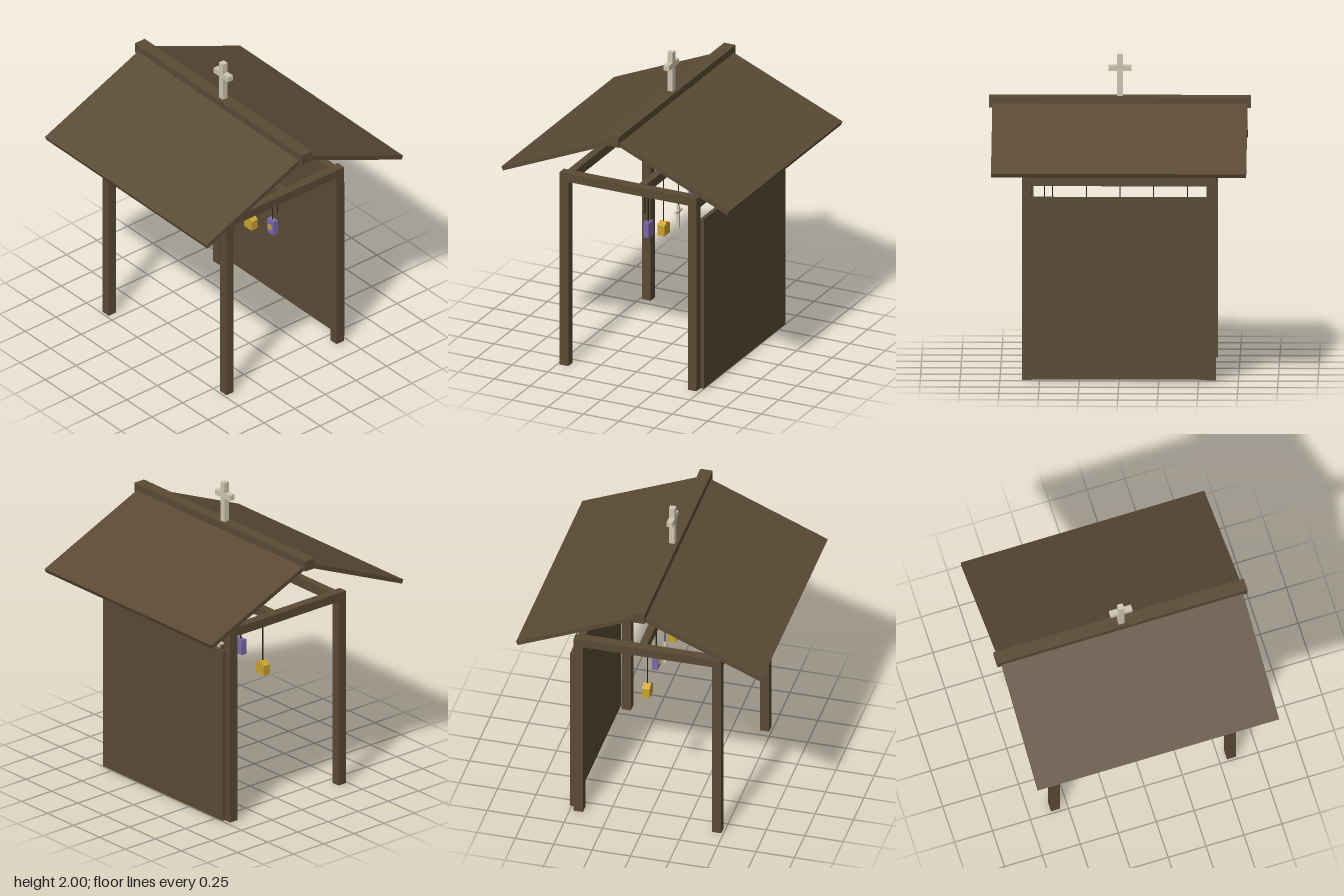
import * as THREE from 'three';

const mat = (name, color) => {
  const m = new THREE.MeshStandardMaterial({ color });
  m.name = name;
  return m;
};

export function createModel() {
  const wood = mat('dark wood', 0x5a4a34);
  const pale = mat('pale wood', 0xd0c6b0);
  const gold = mat('gold', 0xc9a22f);
  const violet = mat('violet', 0x7b68a8);
  const cord = mat('cord', 0x2c2620);

  const root = new THREE.Group();
  root.name = 'shrine';

  const add = (parent, name, geo, material, x, y, z) => {
    const mesh = new THREE.Mesh(geo, material);
    mesh.name = name;
    mesh.position.set(x, y, z);
    parent.add(mesh);
    return mesh;
  };
  const box = (parent, name, material, [w, h, d], [x, y, z]) =>
    add(parent, name, new THREE.BoxGeometry(w, h, d), material, x, y, z);

  // Frame: four posts, two side beams, three cross beams
  const frame = new THREE.Group();
  frame.name = 'frame';
  root.add(frame);
  const frontZ = 0.455, backZ = -0.445, hangZ = -0.045;
  for (const x of [-0.58, 0.58]) {
    for (const z of [frontZ, backZ]) box(frame, 'post', wood, [0.06, 1.26, 0.06], [x, 0.63, z]);
    box(frame, 'sideBeam', wood, [0.06, 0.058, 0.96], [x, 1.289, 0.005]);
  }
  for (const z of [frontZ, hangZ, backZ])
    box(frame, 'crossBeam', wood, [1.1, 0.06, 0.05], [0, 1.265, z]);

  // Back wall
  box(root, 'backPanel', wood, [1.15, 1.16, 0.025], [0, 0.59, -0.4975]);

  // Roof: two sloping slabs under a ridge beam
  const roof = new THREE.Group();
  roof.name = 'roof';
  root.add(roof);
  const top = 1.69, eave = 1.353, run = 0.795;
  for (const side of [1, -1]) {
    const length = Math.hypot(run, top - eave);
    const slab = box(roof, 'roofSlab', wood, [side > 0 ? 1.59 : 1.605, 0.028, length],
      [0, (top + eave) / 2, side * run / 2 + 0.002]);
    slab.rotation.x = side * Math.atan2(top - eave, run);
  }
  box(roof, 'ridgeBeam', wood, [1.648, 0.07, 0.08], [0, 1.7, 0.004]);

  // Crosses: an upright with two side arms
  const cross = (name, thick, height, span, armY, armH, x, y, z) => {
    const g = new THREE.Group();
    g.name = name;
    g.position.set(x, y, z);
    box(g, 'upright', pale, [thick, height, thick], [0, height / 2, 0]);
    const armW = (span - thick) / 2;
    for (const s of [-1, 1])
      box(g, 'arm', pale, [armW, armH, thick], [s * (thick + armW) / 2, armY, 0]);
    root.add(g);
  };
  cross('ridgeCross', 0.038, 0.265, 0.144, 0.178, 0.036, 0, 1.735, 0.005);
  cross('hangingCross', 0.016, 0.155, 0.08, 0.112, 0.015, 0, 0.805, hangZ);

  // Cords under the middle beam, including one empty cord
  const cords = [[-0.425, 0.93], [-0.212, 1.01], [0, 0.96], [0.21, 0.93], [0.425, 1.01], [0.475, 1.08]];
  for (const [x, end] of cords)
    add(root, 'cord', new THREE.CylinderGeometry(0.004, 0.004, 1.235 - end, 6), cord, x, (1.235 + end) / 2, hangZ);

  // Small hanging houses with a gabled outline
  const outline = new THREE.Shape([
    [-0.038, 0], [0.038, 0], [0.038, 0.063], [0.042, 0.067], [0, 0.092], [-0.042, 0.067], [-0.038, 0.063],
  ].map(([x, y]) => new THREE.Vector2(x, y)));
  const houseGeo = new THREE.ExtrudeGeometry(outline, { depth: 0.05, bevelEnabled: false });
  houseGeo.translate(0, 0, -0.025);
  for (const x of [-0.425, 0.21]) add(root, 'hangingHouse', houseGeo, gold, x, 0.842, hangZ);

  // Violet lanterns with a small gold window
  for (const x of [-0.212, 0.425]) {
    box(root, 'lantern', violet, [0.064, 0.1, 0.038], [x, 0.96, hangZ]);
    box(root, 'lanternWindow', gold, [0.032, 0.032, 0.006], [x, 0.96, hangZ + 0.022]);
  }

  return root;
}
